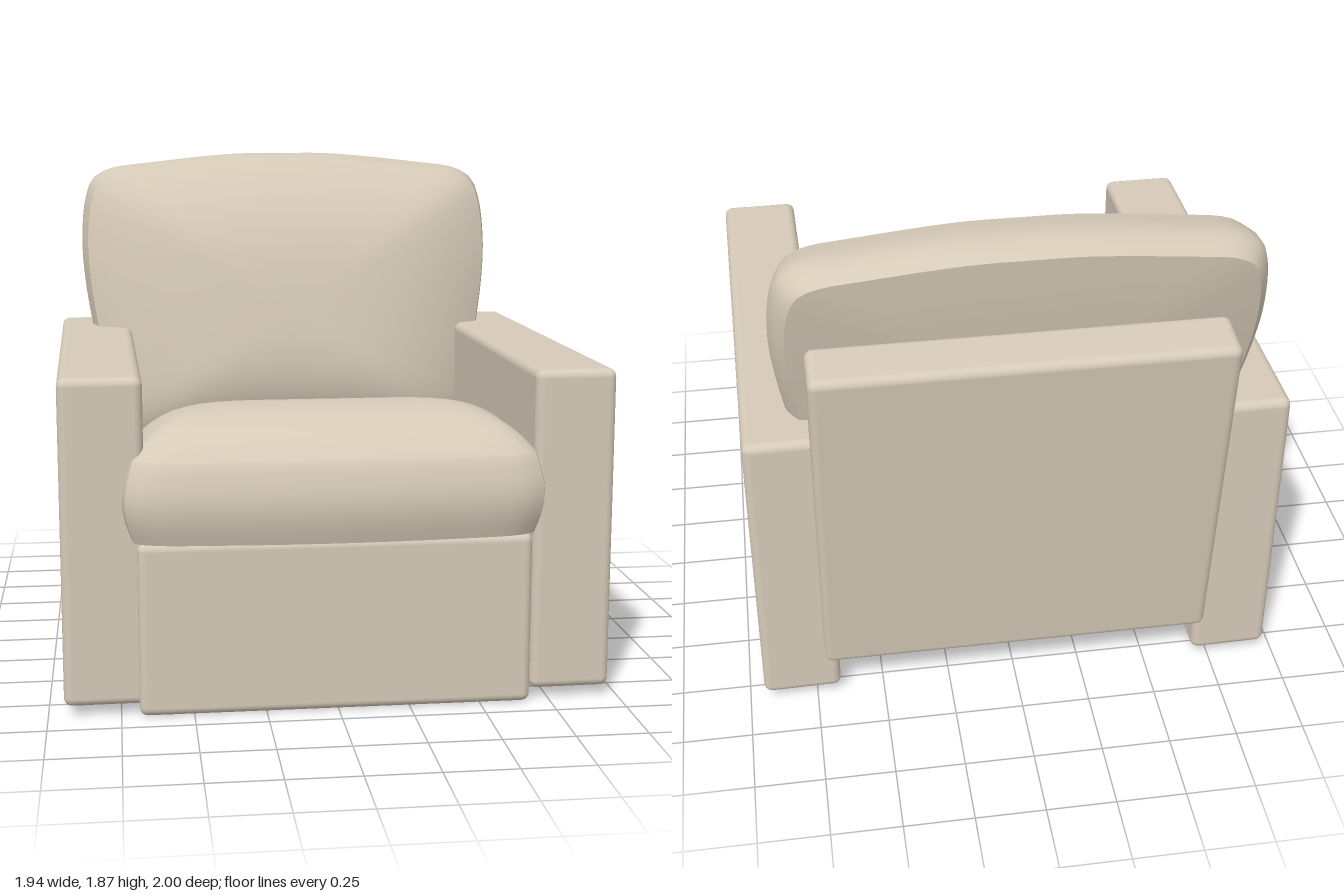
import * as THREE from 'three';
import { toCreasedNormals } from 'three/addons/utils/BufferGeometryUtils.js';
import { RoundedBoxGeometry } from 'three/addons/geometries/RoundedBoxGeometry.js';

const material = new THREE.MeshStandardMaterial({ color: 0xd6cab8 });
const { lerp, smoothstep } = THREE.MathUtils;

function addMesh(group, name, geometry, x = 0, y = 0, z = 0) {
  const mesh = new THREE.Mesh(geometry, material);
  mesh.name = name;
  mesh.position.set(x, y, z);
  group.add(mesh);
  return mesh;
}

const box = (w, h, d) => new RoundedBoxGeometry(w, h, d, 4, 0.03);

// Stuffed cushion: a mirrored outline in (u, v), with a crowned face,
// a rounded border between two seams, and a rear face.
function cushion({ half, centre, frontSeam, backSeam, crown, power, rim, backRim, backCrown }) {
  const mirrored = half.slice(1, -1).reverse().map(([u, v]) => [-u, v]);
  const points = [...half, ...mirrored].map(([u, v]) => new THREE.Vector3(u, v, 0));
  const curve = new THREE.CatmullRomCurve3(points, true, 'centripetal');
  const count = 120;
  const outline = curve.getSpacedPoints(count).slice(0, count);

  // Each ring has an outline scale and a depth rule
  const rings = [];
  const steps = 16;
  for (let i = 0; i <= steps; i++) {
    const k = Math.sin((i / steps) * Math.PI / 2);
    rings.push([(1 - rim) * k, v => frontSeam(v) + crown * (1 - k ** power)]);
  }
  for (let i = 1; i <= 8; i++) {
    const t = i / 8;
    const s = 1 - lerp(rim, backRim, t) * (1 - Math.sin(Math.PI * t));
    rings.push([s, v => lerp(frontSeam(v), backSeam(v), t)]);
  }
  for (let i = 1; i <= steps; i++) {
    const k = 1 - i / steps;
    rings.push([(1 - backRim) * k, v => backSeam(v) - backCrown * (1 - k * k)]);
  }

  const positions = [];
  const index = [];
  rings.forEach(([s, depth], r) => {
    outline.forEach((p, j) => {
      const v = centre + (p.y - centre) * s;
      positions.push(p.x * s, v, depth(v));
      if (r === rings.length - 1) return;
      const a = r * count + j;
      const b = r * count + (j + 1) % count;
      const c = a + count;
      const d = b + count;
      // The first and last rings are single points
      if (r > 0) index.push(a, d, b);
      if (r < rings.length - 2) index.push(a, c, d);
    });
  });
  const geometry = new THREE.BufferGeometry();
  geometry.setAttribute('position', new THREE.Float32BufferAttribute(positions, 3));
  geometry.setIndex(index);
  return toCreasedNormals(geometry, 0.6);
}

export function createModel() {
  const chair = new THREE.Group();
  chair.name = 'armchair';

  // Block arms
  for (const side of [-1, 1]) {
    const arm = addMesh(chair, side > 0 ? 'leftArm' : 'rightArm',
      box(0.285, 1.14, 1.72), side * 0.815, 0.605, 0.025);
    arm.rotation.y = 0.014;
  }

  // Front panel
  addMesh(chair, 'frontPanel', box(1.365, 0.61, 0.13), -0.005, 0.305, 0.85);

  // Leaning rear panel
  const rear = addMesh(chair, 'rearPanel', box(1.435, 1.36, 0.2), -0.003, 0.855, -0.825);
  rear.rotation.x = -0.11;

  // Seat cushion, outline drawn in plan with v pointing backwards.
  // It sinks towards the rear and is hollow below, behind the front lip.
  const seatSeam = v => 0.89 - 0.26 * (Math.max(0, v + 0.6) / 0.95) ** 1.3;
  const seat = cushion({
    half: [[0, -1], [0.4, -0.985], [0.66, -0.955], [0.725, -0.91], [0.725, -0.82],
      [0.725, -0.6], [0.725, 0], [0.725, 0.32], [0.65, 0.4], [0, 0.4]],
    centre: -0.25,
    frontSeam: seatSeam,
    backSeam: v => lerp(0.61, seatSeam(v) - 0.05, smoothstep(v, -0.76, -0.66)),
    crown: 0.15, power: 6, rim: 0.04, backRim: 0.04, backCrown: -0.1,
  });
  seat.rotateX(-Math.PI / 2);
  addMesh(chair, 'seatCushion', seat, -0.008);

  // Back cushion, leaning against the rear panel
  const back = cushion({
    half: [[0, 0.72], [0.6, 0.72], [0.7, 0.78], [0.78, 1.0], [0.815, 1.18],
      [0.84, 1.34], [0.852, 1.5], [0.838, 1.68], [0.805, 1.77], [0.74, 1.81],
      [0.55, 1.838], [0.2, 1.872], [0, 1.874]],
    centre: 1.24,
    frontSeam: v => -0.49 - 0.17 * (v - 1.18),
    backSeam: v => -0.7 - 0.24 * (v - 1.18),
    crown: 0.17, power: 3, rim: 0.03, backRim: 0.06, backCrown: 0.04,
  });
  addMesh(chair, 'backCushion', back, -0.025);

  return chair;
}
